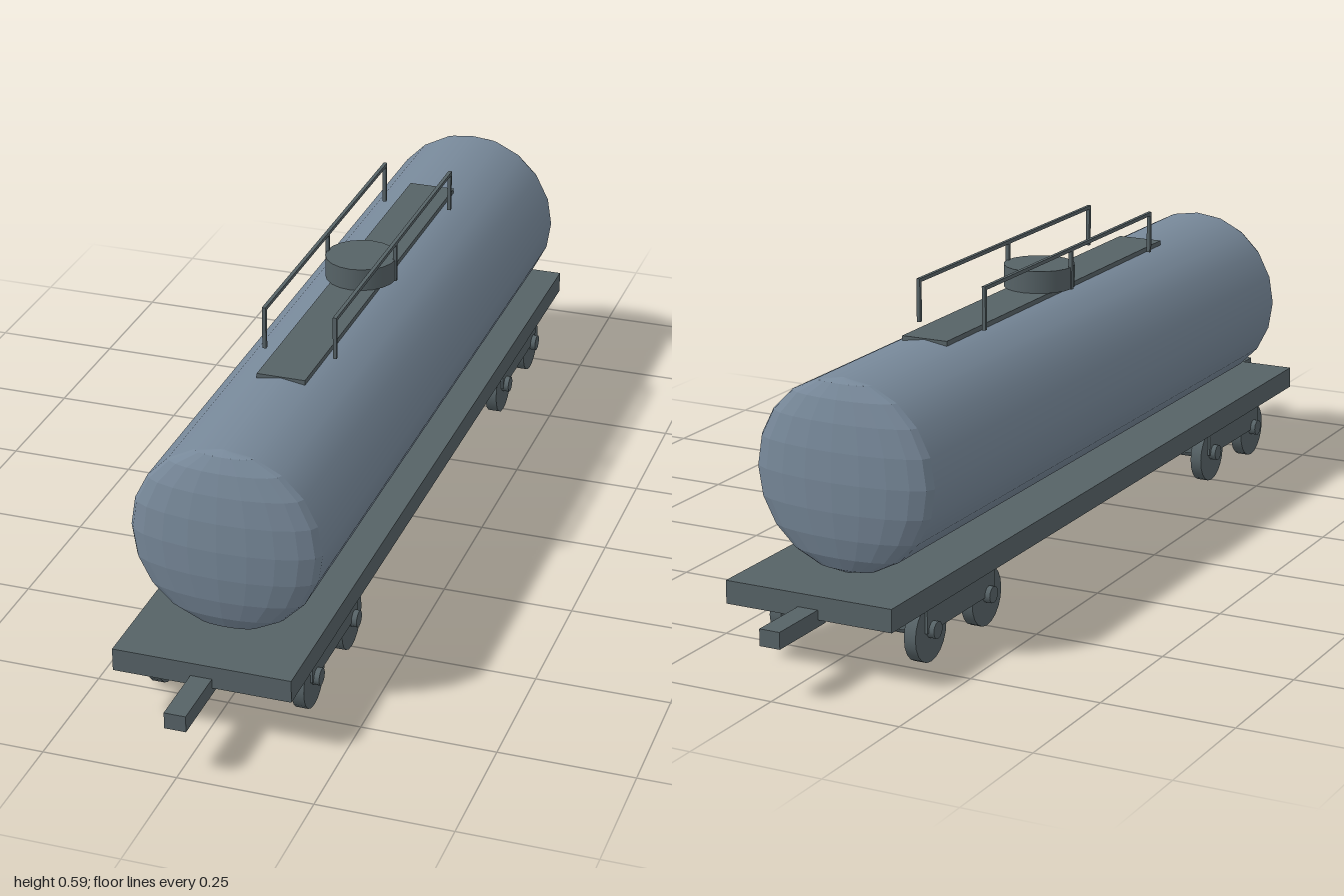
import * as THREE from 'three';

const steel = new THREE.MeshStandardMaterial({ color: 0x566266 });
const tankPaint = new THREE.MeshStandardMaterial({ color: 0x778899 });
const capPaint = new THREE.MeshStandardMaterial({ color: 0x778899, flatShading: true });

function add(parent, name, geometry, x, y, z, material = steel) {
  const mesh = new THREE.Mesh(geometry, material);
  mesh.name = name;
  mesh.position.set(x, y, z);
  parent.add(mesh);
  return mesh;
}

const box = (w, h, d) => new THREE.BoxGeometry(w, h, d);
// cylinder lying along x
const rod = (r, length, sides) => new THREE.CylinderGeometry(r, r, length, sides).rotateZ(Math.PI / 2);

// Four-wheeled truck: frame, two axles, four wheels
function createBogie() {
  const bogie = new THREE.Group();
  bogie.name = 'bogie';
  add(bogie, 'bogieFrame', box(0.306, 0.044, 0.25), 0, 0.08, 0);
  for (const z of [-0.104, 0.104]) {
    add(bogie, 'axle', rod(0.016, 0.326, 12), 0, 0.061, z);
    for (const side of [-1, 1]) {
      add(bogie, 'wheel', rod(0.056, 0.023, 20), side * 0.137, 0.056, z);
    }
  }
  return bogie;
}

export function createModel() {
  const model = new THREE.Group();
  model.name = 'tankWagon';

  // Underframe
  add(model, 'deck', box(0.332, 0.043, 1.75), 0, 0.1315, 0);

  // Tank barrel
  const barrel = new THREE.CylinderGeometry(0.178, 0.178, 1.48, 20).rotateX(Math.PI / 2);
  add(model, 'tankBarrel', barrel, 0, 0.33, 0, tankPaint);

  // Dished ends, couplers and bogies at both ends
  const capGeometry = new THREE.SphereGeometry(0.178, 10, 10, 0, Math.PI).scale(1, 1, 0.28);
  for (const end of [-1, 1]) {
    const cap = add(model, 'tankEnd', capGeometry, 0, 0.33, end * 0.74, capPaint);
    if (end < 0) cap.rotation.y = Math.PI;
    add(model, 'coupler', box(0.04, 0.031, 0.15), 0, 0.1125, end * 0.925);
    const bogie = createBogie();
    bogie.position.z = end * 0.603;
    model.add(bogie);
  }

  // Walkway and filler hatch on top
  add(model, 'walkway', box(0.092, 0.01, 0.91), 0, 0.505, 0);
  add(model, 'hatch', new THREE.CylinderGeometry(0.069, 0.069, 0.043, 20), 0, 0.5315, 0);

  // Handrails on both sides
  for (const side of [-1, 1]) {
    const x = side * 0.068;
    add(model, 'handrail', box(0.007, 0.007, 0.711), x, 0.5885, 0);
    for (const z of [-0.352, 0, 0.352]) {
      add(model, 'railPost', box(0.007, 0.08, 0.007), x, 0.55, z);
    }
  }
  return model;
}
